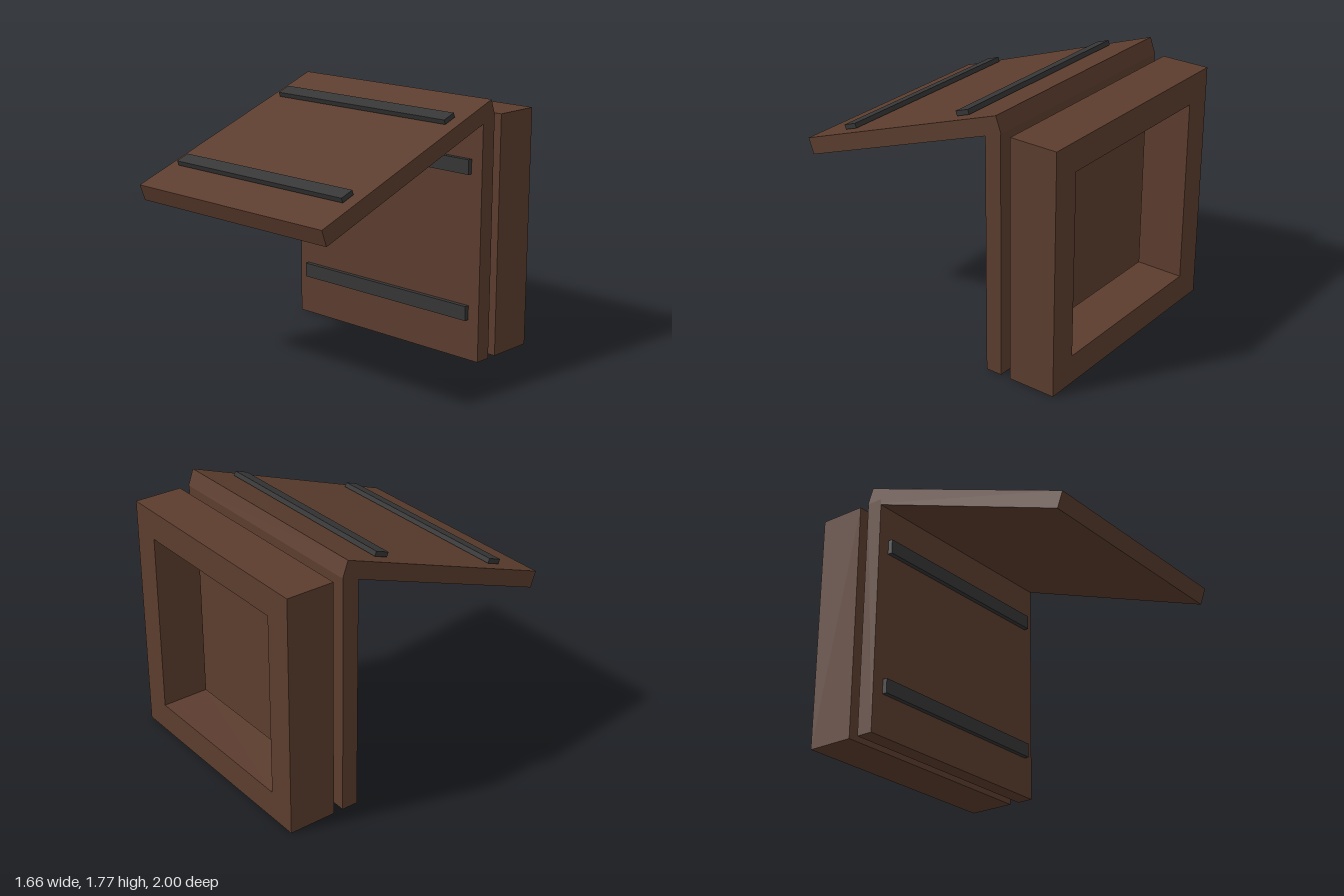
import * as THREE from 'three';

export function createModel() {
  const root = new THREE.Group();
  const brown = new THREE.MeshStandardMaterial({ color: 0x5c3d2e });
  brown.name = 'brown wood';
  const grey = new THREE.MeshStandardMaterial({ color: 0x363636 });
  grey.name = 'dark grey metal';

  const SIZE = 1.66, THICK = 0.115;

  // Square board with two straps on its upper face
  function strappedBoard(name, y, z, tilt) {
    const group = new THREE.Group();
    group.name = name;
    const board = new THREE.Mesh(new THREE.BoxGeometry(SIZE, THICK, SIZE), brown);
    board.name = name + 'Board';
    group.add(board);
    for (const side of [-1, 1]) {
      const strap = new THREE.Mesh(new THREE.BoxGeometry(1.494, 0.033, 0.1), grey);
      strap.name = name + 'Strap';
      strap.position.set(0, THICK / 2 + 0.022, side * 0.3 * SIZE);
      group.add(strap);
    }
    group.position.set(0, y, z);
    group.rotation.x = tilt;
    root.add(group);
  }

  // Raised lid sloping down to the front, and the upright door behind it
  strappedBoard('lid', 1.431, 0.2, THREE.MathUtils.degToRad(20));
  strappedBoard('door', SIZE / 2, -0.539, Math.PI / 2);

  // Thick open frame at the back
  const h = SIZE / 2, inner = h - 0.198;
  const square = (r) => [[-r, -r], [r, -r], [r, r], [-r, r]].map(([x, y]) => new THREE.Vector2(x, y));
  const shape = new THREE.Shape(square(h));
  shape.holes.push(new THREE.Path(square(inner)));
  const frame = new THREE.Mesh(
    new THREE.ExtrudeGeometry(shape, { depth: 0.333, bevelEnabled: false }), brown);
  frame.name = 'backFrame';
  frame.position.set(0, h, -1);
  root.add(frame);

  return root;
}
